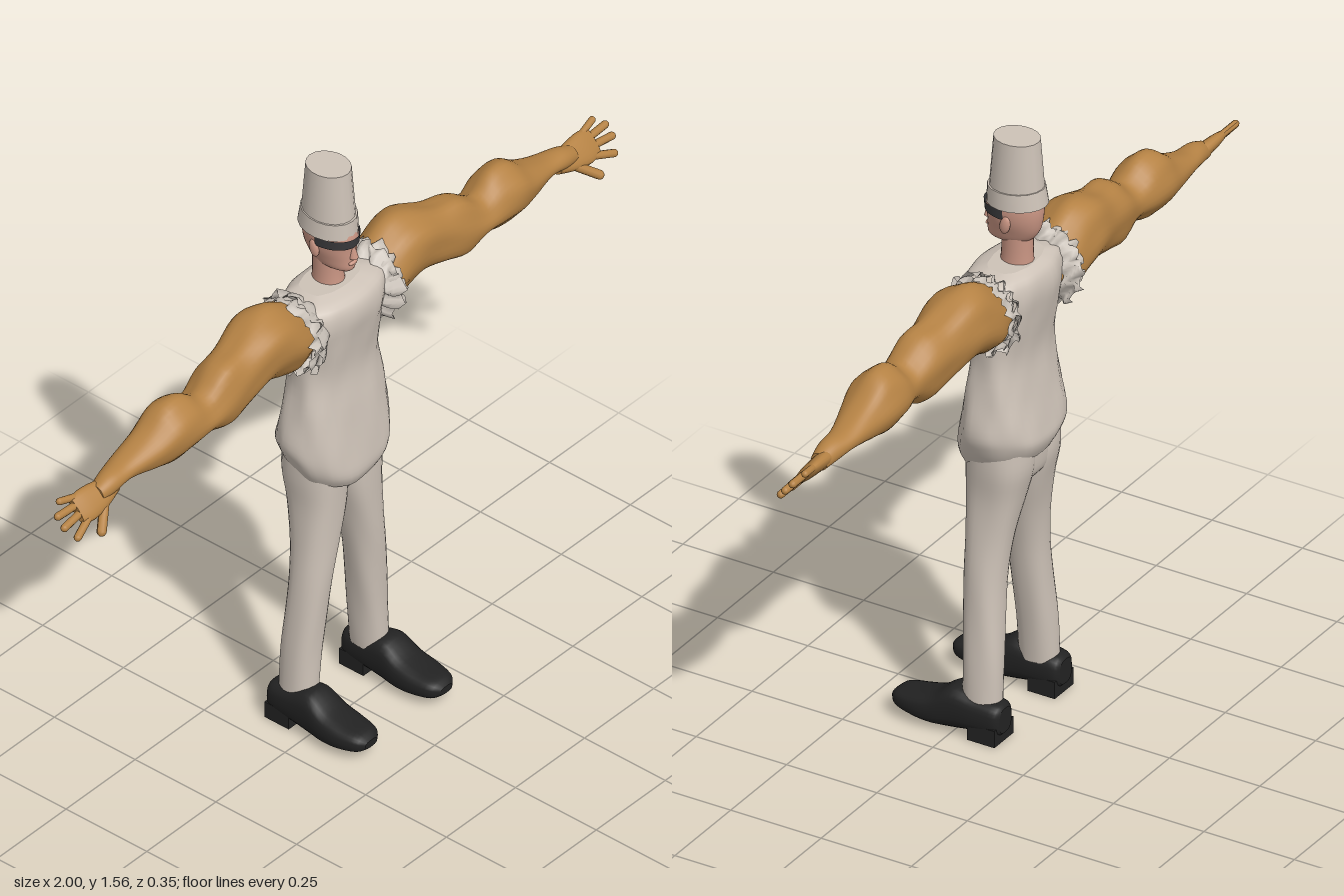
import * as THREE from 'three';
import { mergeGeometries } from 'three/addons/utils/BufferGeometryUtils.js';

const paint = (name, color, side = THREE.FrontSide) => {
  const m = new THREE.MeshStandardMaterial({ color, side });
  m.name = name;
  return m;
};

// Smooth interpolation through a list of section rows
function sample(rows, t) {
  const f = t * (rows.length - 1), i = Math.min(Math.floor(f), rows.length - 2), s = f - i;
  const at = k => rows[Math.max(0, Math.min(rows.length - 1, k))];
  return rows[0].map((_, c) => {
    const a = at(i - 1)[c], b = at(i)[c], d = at(i + 1)[c], e = at(i + 2)[c];
    return b + 0.5 * s * (d - a + s * (2 * a - 5 * b + 4 * d - e + s * (3 * (b - d) + e - a)));
  });
}

// Loft along an axis (0 x, 1 y, 2 z). Row: [position, uMin, uMax, vMin, vMax],
// where u and v are the next two axes in cyclic order.
function loft(axis, rows, { sides = 28, steps = 4, n = 2, wobble, warp, caps = true } = {}) {
  const pos = [], index = [], count = (rows.length - 1) * steps;
  const u = (axis + 1) % 3, v = (axis + 2) % 3;
  const add = p => { if (warp) warp(p); pos.push(...p); };
  const ring = i => {
    const [h, u0, u1, v0, v1] = sample(rows, i / count);
    for (let j = 0; j < sides; j++) {
      const a = j / sides * Math.PI * 2, c = Math.cos(a), s = Math.sin(a), p = [0, 0, 0];
      const k = wobble ? wobble(a, h) : 1;
      p[axis] = h;
      p[u] = (u0 + u1) / 2 + (u1 - u0) / 2 * k * Math.sign(c) * Math.abs(c) ** (2 / n);
      p[v] = (v0 + v1) / 2 + (v1 - v0) / 2 * k * Math.sign(s) * Math.abs(s) ** (2 / n);
      add(p);
    }
  };
  for (let i = 0; i <= count; i++) ring(i);
  for (let i = 0; i < count; i++) for (let j = 0; j < sides; j++) {
    const a = i * sides + j, b = i * sides + (j + 1) % sides;
    index.push(a, b, a + sides, b, b + sides, a + sides);
  }
  if (caps) for (const end of [0, count]) {
    const first = pos.length / 3;
    ring(end);
    const r = rows[end ? rows.length - 1 : 0], c = [0, 0, 0];
    c[axis] = r[0]; c[u] = (r[1] + r[2]) / 2; c[v] = (r[3] + r[4]) / 2;
    add(c);
    for (let j = 0; j < sides; j++) {
      const a = first + j, b = first + (j + 1) % sides;
      index.push(first + sides, end ? a : b, end ? b : a);
    }
  }
  const g = new THREE.BufferGeometry();
  g.setAttribute('position', new THREE.Float32BufferAttribute(pos, 3));
  g.setIndex(index);
  g.computeVertexNormals();
  return g;
}

function mirrored(g) {
  const m = g.clone().scale(-1, 1, 1), ix = m.index.array;
  for (let i = 0; i < ix.length; i += 3) [ix[i], ix[i + 1]] = [ix[i + 1], ix[i]];
  m.computeVertexNormals();
  return m;
}

// Rounded finger between two points
function finger(x0, y0, x1, y1, r) {
  const a = new THREE.Vector3(x0, y0, 0), d = new THREE.Vector3(x1 - x0, y1 - y0, 0);
  const g = new THREE.CapsuleGeometry(r, d.length() - r, 4, 10);
  g.applyQuaternion(new THREE.Quaternion().setFromUnitVectors(
    new THREE.Vector3(0, 1, 0), d.clone().normalize()));
  return g.translate(a.x + d.x / 2, a.y + d.y / 2, 0);
}

export function createModel() {
  const group = new THREE.Group();
  const cloth = paint('cloth', 0xcdc2b7);
  const tornCloth = paint('tornCloth', 0xc9c1b8, THREE.DoubleSide);
  const tan = paint('tanArms', 0xb58244);
  const skin = paint('skin', 0xc99583);
  const black = paint('blackLeather', 0x222222);
  const dark = paint('darkLens', 0x3a3a3c, THREE.DoubleSide);
  const add = (name, g, mat) => {
    const m = new THREE.Mesh(g, mat);
    m.name = name;
    group.add(m);
    return m;
  };
  const pair = (name, g, mat) => {
    add(name + 'Left', g, mat);
    add(name + 'Right', mirrored(g), mat);
  };

  // Shirt, puffed above a hem that dips at the front
  add('shirt', loft(1, [
    [0.715, -0.15, 0.025, -0.125, 0.125],
    [0.75, -0.168, 0.038, -0.146, 0.146],
    [0.80, -0.164, 0.033, -0.157, 0.157],
    [0.90, -0.148, 0.018, -0.145, 0.145],
    [1.00, -0.138, 0.006, -0.129, 0.129],
    [1.10, -0.152, 0.018, -0.134, 0.134],
    [1.17, -0.160, 0.027, -0.146, 0.146],
    [1.215, -0.150, 0.015, -0.138, 0.138],
    [1.235, -0.125, -0.025, -0.085, 0.085],
  ], {
    sides: 48, n: 2.5,
    wobble: (a, h) => 1 + 0.014 * Math.sin(6 * a + 22 * h) + 0.01 * Math.sin(11 * a - 30 * h),
    warp: p => {
      const w = Math.max(0, Math.min(1, (0.9 - p[1]) / 0.15));
      p[1] += w * (1.3 * p[0] * p[0] - 0.25 * (p[2] + 0.065) - 0.008);
    },
  }), cloth);

  // Torn frills around the armholes
  const frill = (x0, x1, grow, phase) => loft(0, [
    [x0, 1.09, 1.22, -0.14, 0.0],
    [(x0 + x1) / 2, 1.06, 1.245, -0.158, 0.018],
    [x1, 1.055 - grow, 1.24 + grow, -0.158 - grow, 0.015 + grow],
  ], {
    sides: 64, steps: 3, caps: false,
    wobble: (a, h) => 1 + (h - x0) / (x1 - x0) * (0.07 * Math.sin(13 * a + phase) + 0.04 * Math.sin(22 * a)),
    warp: p => { p[0] += 0.01 * Math.sin(p[1] * 130 + p[2] * 170 + phase); },
  });
  pair('outerFrill', frill(0.115, 0.165, 0.002, 0), tornCloth);
  pair('innerFrill', frill(0.10, 0.142, 0.014, 2), tornCloth);

  // Muscular arms: shoulder, upper arm, elbow, forearm, wrist
  pair('arm', loft(0, [
    [0.09, 1.09, 1.19, -0.125, -0.025],
    [0.16, 1.062, 1.24, -0.150, 0.0],
    [0.22, 1.078, 1.27, -0.156, 0.005],
    [0.28, 1.095, 1.268, -0.156, 0.005],
    [0.36, 1.075, 1.238, -0.138, 0.0],
    [0.43, 1.055, 1.228, -0.130, 0.003],
    [0.50, 1.078, 1.185, -0.116, 0.0],
    [0.56, 1.062, 1.215, -0.128, 0.003],
    [0.62, 1.060, 1.215, -0.130, 0.003],
    [0.68, 1.075, 1.175, -0.120, -0.01],
    [0.76, 1.090, 1.142, -0.108, -0.03],
    [0.82, 1.080, 1.135, -0.095, -0.033],
    [0.86, 1.075, 1.120, -0.085, -0.04],
  ], {
    sides: 36,
    wobble: (a, h) => {
      const w = Math.min(1, Math.max(0, (0.82 - h) / 0.2));
      return 1 + w * (0.035 * Math.sin(4 * a + 14 * h) + 0.02 * Math.sin(7 * a - 20 * h));
    },
  }), tan);

  // Hands tilted so the thumbs point down and forward
  const palm = loft(0, [
    [0.80, -0.022, 0.022, -0.02, 0.02],
    [0.85, -0.038, 0.032, -0.019, 0.019],
    [0.90, -0.045, 0.037, -0.016, 0.016],
    [0.935, -0.038, 0.032, -0.010, 0.010],
  ], { sides: 20, n: 2.4 });
  palm.setAttribute('uv', new THREE.Float32BufferAttribute(new Float32Array(palm.attributes.position.count * 2), 2));
  const hand = mergeGeometries([
    palm,
    finger(0.915, 0.026, 0.968, 0.040, 0.009),
    finger(0.92, 0.009, 0.995, 0.012, 0.010),
    finger(0.92, -0.011, 0.995, -0.020, 0.010),
    finger(0.91, -0.031, 0.975, -0.058, 0.010),
    finger(0.85, -0.025, 0.905, -0.082, 0.012),
  ]);
  hand.rotateX(-0.72).translate(0, 1.095, -0.062);
  pair('hand', hand, tan);

  // Trousers
  const fold = (a, h) => 1 + 0.015 * Math.sin(4 * a + 18 * h);
  pair('trouserLeg', loft(1, [
    [0.085, -0.112, -0.012, 0.088, 0.168],
    [0.20, -0.110, -0.012, 0.076, 0.163],
    [0.32, -0.104, -0.006, 0.060, 0.153],
    [0.42, -0.103, 0.0, 0.045, 0.144],
    [0.52, -0.112, 0.005, 0.024, 0.133],
    [0.62, -0.132, 0.010, 0.001, 0.126],
    [0.70, -0.150, 0.012, -0.01, 0.130],
    [0.76, -0.150, 0.012, -0.01, 0.130],
  ], { n: 2.3, wobble: fold }), cloth);
  add('trouserSeat', loft(1, [
    [0.635, -0.10, -0.02, -0.06, 0.06],
    [0.67, -0.138, 0.008, -0.115, 0.115],
    [0.72, -0.148, 0.012, -0.126, 0.126],
    [0.77, -0.148, 0.012, -0.126, 0.126],
  ], { n: 2.4 }), cloth);

  // Shoes with raised toes and block heels
  pair('shoe', loft(2, [
    [-0.130, 0.108, 0.162, 0.025, 0.09],
    [-0.115, 0.094, 0.176, 0.018, 0.10],
    [-0.06, 0.088, 0.182, 0.018, 0.108],
    [0.0, 0.085, 0.186, 0.010, 0.122],
    [0.05, 0.081, 0.190, 0.008, 0.092],
    [0.10, 0.082, 0.190, 0.014, 0.078],
    [0.15, 0.093, 0.178, 0.024, 0.070],
    [0.17, 0.115, 0.157, 0.036, 0.056],
  ], { sides: 24, n: 2.8 }), black);
  pair('shoeHeel', new THREE.BoxGeometry(0.085, 0.045, 0.075).translate(0.135, 0.0225, -0.088), black);

  // Neck, head, nose and ears
  add('neck', loft(1, [
    [1.19, -0.125, -0.03, -0.042, 0.042],
    [1.25, -0.120, -0.04, -0.035, 0.035],
    [1.33, -0.120, -0.04, -0.035, 0.035],
  ]), skin);
  add('head', loft(1, [
    [1.284, -0.085, -0.01, -0.02, 0.02],
    [1.295, -0.118, -0.002, -0.034, 0.034],
    [1.32, -0.138, -0.002, -0.043, 0.043],
    [1.35, -0.146, -0.002, -0.052, 0.052],
    [1.38, -0.148, 0.0, -0.055, 0.055],
    [1.41, -0.145, -0.01, -0.052, 0.052],
  ]), skin);
  add('nose', new THREE.ConeGeometry(0.012, 0.045, 8).translate(0, 1.35, -0.001), skin);
  add('lips', new THREE.SphereGeometry(1, 12, 8).scale(0.015, 0.006, 0.007).translate(0, 1.312, -0.003), skin);
  pair('ear', new THREE.SphereGeometry(1, 12, 10).scale(0.009, 0.024, 0.014)
    .rotateX(-0.2).translate(0.053, 1.348, -0.078), skin);

  // Wraparound dark glasses
  add('glasses', new THREE.CylinderGeometry(1, 0.97, 1, 24, 1, true, -Math.PI / 2, Math.PI)
    .scale(0.058, 0.026, 0.079).translate(0, 1.374, -0.073), dark);

  // Tall hat: flared band and tapered crown
  const hat = new THREE.Group();
  hat.name = 'hat';
  const hatPart = (name, top, bottom, h, y) => {
    const m = new THREE.Mesh(new THREE.CylinderGeometry(top, bottom, h, 18).scale(1, 1, 1.2), cloth);
    m.name = name;
    m.position.y = y;
    hat.add(m);
  };
  hatPart('hatBand', 0.061, 0.065, 0.045, 0.0225);
  hatPart('hatCrown', 0.049, 0.058, 0.135, 0.106);
  hat.children[0].rotation.x = 0.06;
  hat.position.set(0, 1.391, -0.079);
  group.add(hat);

  return group;
}
